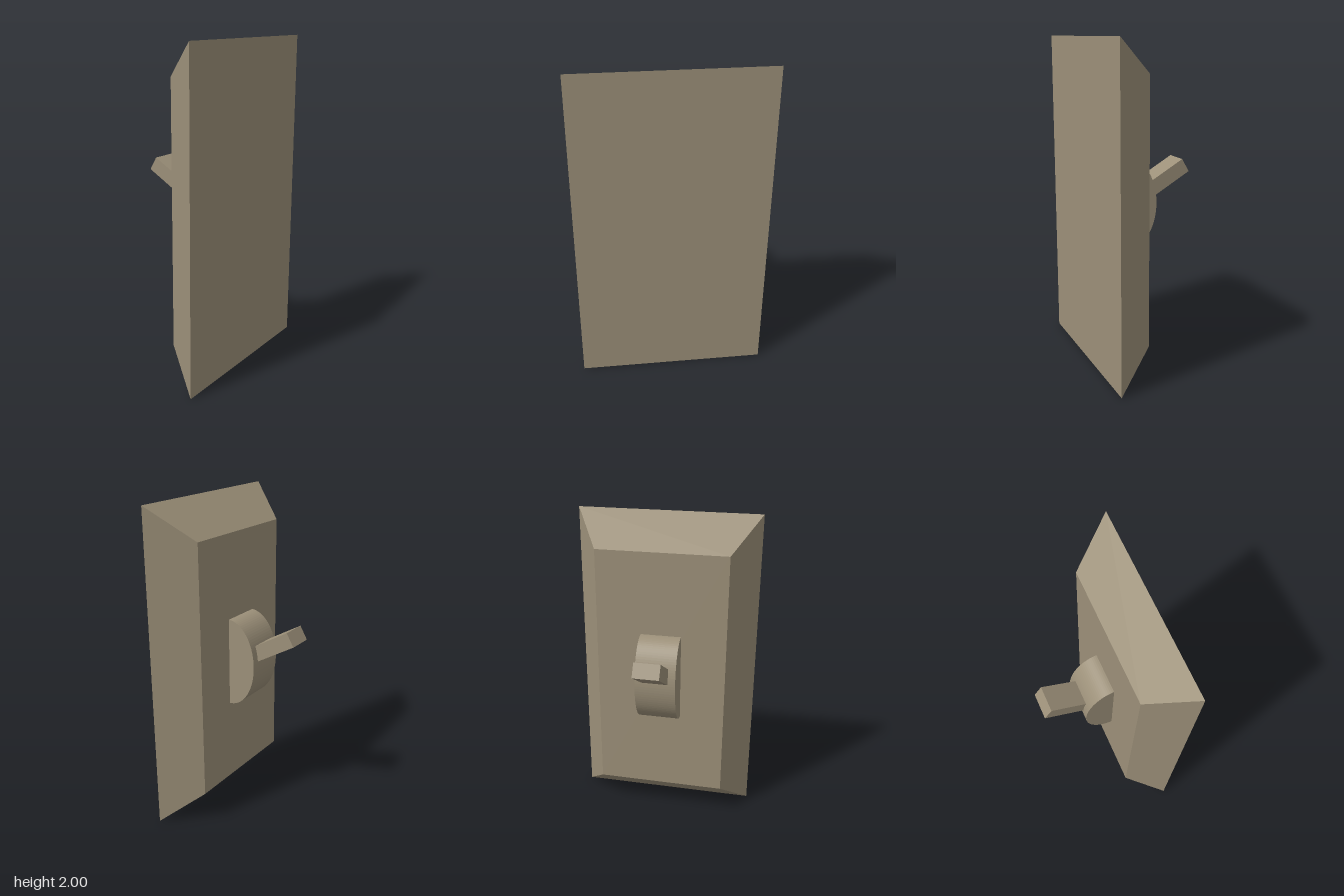
import * as THREE from 'three';

const FACE_X = 0.09; // plane of the plate's outer face

export function createModel() {
  const group = new THREE.Group();
  const material = new THREE.MeshStandardMaterial({ color: 0x9c9079, flatShading: true });
  const add = (name, geometry) => {
    const mesh = new THREE.Mesh(geometry, material);
    mesh.name = name;
    group.add(mesh);
    return mesh;
  };

  // Wall plate: a box whose outer (-x) face is drawn in to form bevels
  const backX = 0.335;
  let plate = new THREE.BoxGeometry(backX - FACE_X, 2, 1.15);
  const pos = plate.attributes.position;
  for (let i = 0; i < pos.count; i++) {
    if (pos.getX(i) < 0) {
      pos.setY(i, Math.sign(pos.getY(i)) * 0.8);
      pos.setZ(i, Math.sign(pos.getZ(i)) * 0.411);
    }
  }
  plate = plate.toNonIndexed();
  plate.computeVertexNormals();
  add('wallPlate', plate).position.set((FACE_X + backX) / 2, 1, 0);

  // Half-elliptical boss under the lever
  const profile = new THREE.Shape();
  profile.absellipse(0, 0, 0.18, 0.277, Math.PI / 2, Math.PI * 1.5, false, 0);
  profile.closePath();
  const depth = 0.256;
  const boss = new THREE.ExtrudeGeometry(profile, { depth, bevelEnabled: false, curveSegments: 24 });
  boss.translate(0, 0, -depth / 2);
  add('switchBoss', boss).position.set(FACE_X, 1, 0);

  // Lever, tilted upward away from the plate and rooted inside the boss
  const length = 0.36;
  const lever = new THREE.BoxGeometry(length, 0.093, 0.162);
  lever.translate(length / 2, 0, 0);
  const leverMesh = add('switchLever', lever);
  leverMesh.position.set(-0.312, 1.211, 0);
  leverMesh.rotation.z = -Math.PI / 6;

  return group;
}
